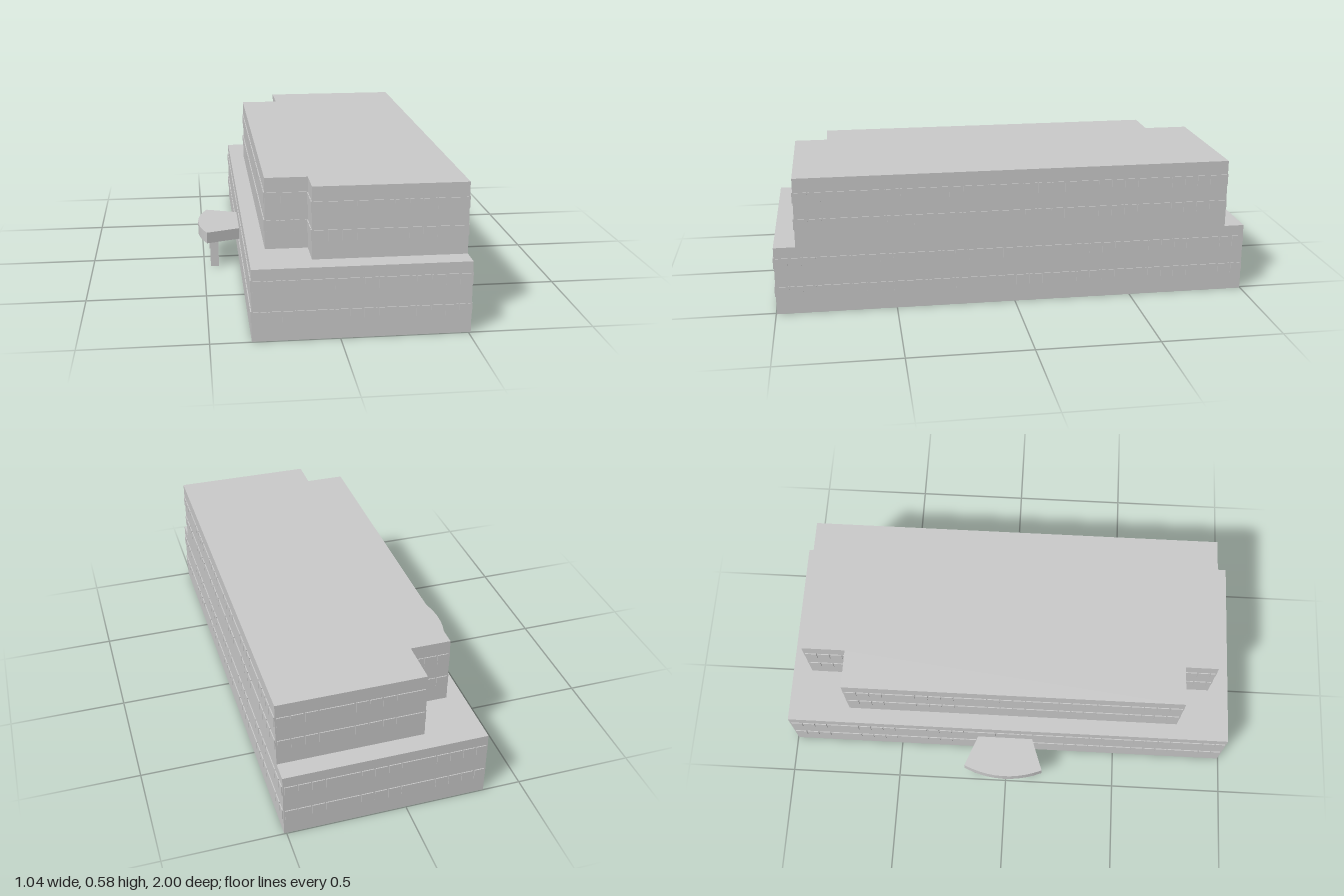
import * as THREE from 'three';

const material = new THREE.MeshStandardMaterial({ color: 0xcccccc, flatShading: true });

// Vertical prism over a ground outline of [x, z] points
function prism(name, points, bottom, top) {
  const shape = new THREE.Shape(points.map(([x, z]) => new THREE.Vector2(x, -z)));
  const geometry = new THREE.ExtrudeGeometry(shape, { depth: top - bottom, bevelEnabled: false });
  geometry.rotateX(-Math.PI / 2);
  geometry.translate(0, bottom, 0);
  const mesh = new THREE.Mesh(geometry, material);
  mesh.name = name;
  return mesh;
}

// Shallow window panels along each wall, split by narrow gaps in groups
function windowBands(name, points, heights) {
  const group = new THREE.Group();
  group.name = name;
  const pattern = [0.05, 0.05, 0.05, 0.14];
  const margin = 0.006, gap = 0.006, depth = 0.008, height = 0.045;
  points.forEach(([x0, z0], i) => {
    const [x1, z1] = points[(i + 1) % points.length];
    const length = Math.hypot(x1 - x0, z1 - z0);
    const dx = (x1 - x0) / length, dz = (z1 - z0) / length;
    let start = margin;
    for (let k = 0; start < length - margin - 0.01; k++) {
      const end = Math.min(start + pattern[k % pattern.length], length - margin);
      const middle = (start + end) / 2;
      for (const y of heights) {
        const panel = new THREE.Mesh(new THREE.BoxGeometry(end - start, height, depth), material);
        panel.name = 'windowPanel';
        panel.position.set(x0 + dx * middle, y, z0 + dz * middle);
        panel.rotation.y = -Math.atan2(dz, dx);
        group.add(panel);
      }
      start = end + gap;
    }
  });
  return group;
}

export function createModel() {
  const model = new THREE.Group();
  model.name = 'officeBuilding';

  // Wide two-storey base
  const base = [[-0.34, 0.997], [0.51, 0.997], [0.51, -0.997], [-0.34, -0.997]];
  model.add(prism('baseStoreys', base, 0, 0.29));
  model.add(windowBands('baseWindows', base, [0.097, 0.221]));

  // Stepped upper storeys
  const upper = [
    [-0.27, 0.765], [-0.1, 0.765], [-0.1, 0.907], [0.51, 0.907],
    [0.51, -0.912], [-0.1, -0.912], [-0.1, -0.722], [-0.27, -0.722],
  ];
  model.add(prism('upperStoreys', upper, 0.29, 0.58));
  model.add(windowBands('upperWindows', upper, [0.385, 0.498]));

  // Entrance canopy with a curved outer edge
  const canopy = [[-0.335, 0.113], [-0.335, -0.133]];
  for (let i = 0; i <= 10; i++) {
    const t = i / 10;
    canopy.push([-0.48 - 0.157 * t * (1 - t) - 0.006 * t, -0.19 + 0.355 * t]);
  }
  model.add(prism('entranceCanopy', canopy, 0.12, 0.17));

  // Canopy columns
  for (const z of [-0.13, 0.115]) {
    const column = new THREE.Mesh(new THREE.BoxGeometry(0.036, 0.12, 0.036), material);
    column.name = 'canopyColumn';
    column.position.set(-0.453, 0.06, z);
    model.add(column);
  }
  return model;
}
